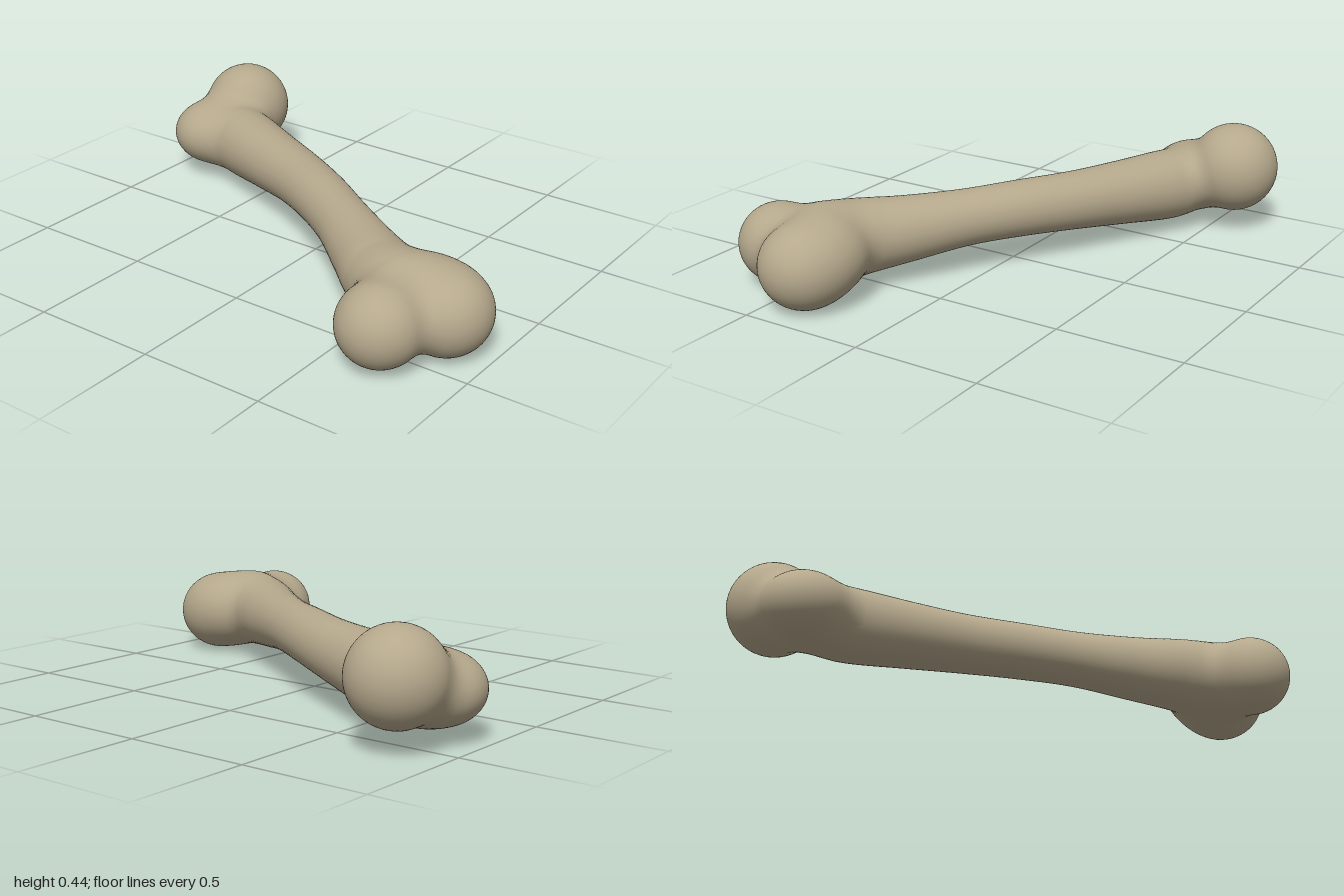
import * as THREE from 'three';

const V = (x, y, z) => new THREE.Vector3(x, y, z);
const BLEND = 0.07; // width of the soft joint between parts

// Shaft stations: x, y, z, radius
const SHAFT = [
  [-0.76, 0.19, -0.40, 0.12], [-0.65, 0.19, -0.355, 0.143], [-0.4, 0.2, -0.243, 0.128],
  [-0.2, 0.21, -0.15, 0.116], [0, 0.217, -0.037, 0.111], [0.2, 0.213, 0.093, 0.11],
  [0.4, 0.2, 0.235, 0.128], [0.55, 0.195, 0.34, 0.146], [0.67, 0.195, 0.40, 0.157],
];

// Rounded ends: centre and radii
const KNOBS = [
  { name: 'ballHead', c: V(-0.8, 0.26, -0.57), r: V(0.18, 0.18, 0.18) },
  { name: 'neckKnob', c: V(-0.83, 0.19, -0.365), r: V(0.168, 0.135, 0.165) },
  { name: 'outerCondyle', c: V(0.825, 0.168, 0.365), r: V(0.171, 0.164, 0.171) },
  { name: 'frontCondyle', c: V(0.7, 0.172, 0.585), r: V(0.159, 0.155, 0.159) },
  { name: 'condyleBridge', c: V(0.74, 0.185, 0.33), r: V(0.14, 0.13, 0.14) },
];

// Smooth spine with an interpolated radius
const STEPS = 48;
const curve = new THREE.CatmullRomCurve3(SHAFT.map(([x, y, z]) => V(x, y, z)));
const radii = new THREE.SplineCurve(SHAFT.map((s, i) => new THREE.Vector2(i, s[3])));
const spine = Array.from({ length: STEPS + 1 }, (_, i) => ({
  c: curve.getPoint(i / STEPS),
  t: curve.getTangent(i / STEPS),
  r: radii.getPoint(i / STEPS).y,
}));

// Distance to the shaft and to a knob
function shaftDistance(p) {
  let best = Infinity;
  const ab = V(), ap = V();
  for (let i = 0; i < STEPS; i++) {
    const a = spine[i], b = spine[i + 1];
    ab.subVectors(b.c, a.c);
    ap.subVectors(p, a.c);
    const h = THREE.MathUtils.clamp(ap.dot(ab) / ab.lengthSq(), 0, 1);
    best = Math.min(best, ap.addScaledVector(ab, -h).length() - a.r - (b.r - a.r) * h);
  }
  return best;
}
function knobDistance(p, { c, r }) {
  const q = p.clone().sub(c).divide(r);
  const k = q.length();
  return k * (k - 1) / Math.max(q.divide(r).length(), 1e-6);
}

// Softly joined distance to the whole bone
function field(p) {
  let d = shaftDistance(p);
  for (const knob of KNOBS) {
    const e = knobDistance(p, knob);
    const h = Math.max(BLEND - Math.abs(d - e), 0) / BLEND;
    d = Math.min(d, e) - h * h * BLEND / 4;
  }
  return d;
}
function slope(p) {
  const e = 0.003;
  const along = (x, y, z) => field(p.clone().add(V(x, y, z))) - field(p.clone().sub(V(x, y, z)));
  return V(along(e, 0, 0), along(0, e, 0), along(0, 0, e)).normalize();
}

// Skin of rings about a row of stations with round caps, eased out into the soft joints
function skin(stations, sides, capRings) {
  const first = stations[0], last = stations[stations.length - 1];
  const rings = [];
  for (let i = 0; i < capRings; i++) rings.push({ ...first, lean: (i / capRings - 1) * Math.PI / 2 });
  for (const s of stations) rings.push({ ...s, lean: 0 });
  for (let i = 1; i <= capRings; i++) rings.push({ ...last, lean: i / capRings * Math.PI / 2 });

  const positions = [], normals = [], index = [];
  rings.forEach(({ c, t, size, lean }, j) => {
    const side = V(0, 1, 0).cross(t).normalize();
    const up = t.clone().cross(side);
    for (let i = 0; i <= sides; i++) {
      const a = i / sides * Math.PI * 2;
      const dir = side.clone().multiplyScalar(Math.cos(a)).addScaledVector(up, Math.sin(a))
        .multiplyScalar(Math.cos(lean)).addScaledVector(t, Math.sin(lean));
      const p = dir.clone().multiply(size).add(c);
      let moved = 0;
      for (let n = 0; n < 8 && moved < 0.06; n++) {
        const step = Math.min(-field(p), 0.06 - moved);
        if (Math.abs(step) < 1e-4) break;
        p.addScaledVector(dir, step);
        moved += step;
      }
      positions.push(p.x, p.y, p.z);
      normals.push(...slope(p).toArray());
      if (j < rings.length - 1 && i < sides) {
        const k = j * (sides + 1) + i, m = k + sides + 1;
        index.push(k, k + 1, m, k + 1, m + 1, m);
      }
    }
  });
  const geometry = new THREE.BufferGeometry();
  geometry.setAttribute('position', new THREE.Float32BufferAttribute(positions, 3));
  geometry.setAttribute('normal', new THREE.Float32BufferAttribute(normals, 3));
  geometry.setIndex(index);
  return geometry;
}

export function createModel() {
  const group = new THREE.Group();
  group.name = 'bone';
  const bone = new THREE.MeshStandardMaterial({ color: 0xb5a88c });
  bone.name = 'boneBeige';

  const add = (name, geometry) => {
    const mesh = new THREE.Mesh(geometry, bone);
    mesh.name = name;
    group.add(mesh);
  };

  // Long shaft
  add('shaft', skin(spine.map(({ c, t, r }) => ({ c, t, size: V(r, r, r) })), 48, 10));
  // Joint knobs at both ends
  for (const { name, c, r } of KNOBS) add(name, skin([{ c, t: V(1, 0, 0), size: r }], 56, 20));
  return group;
}
